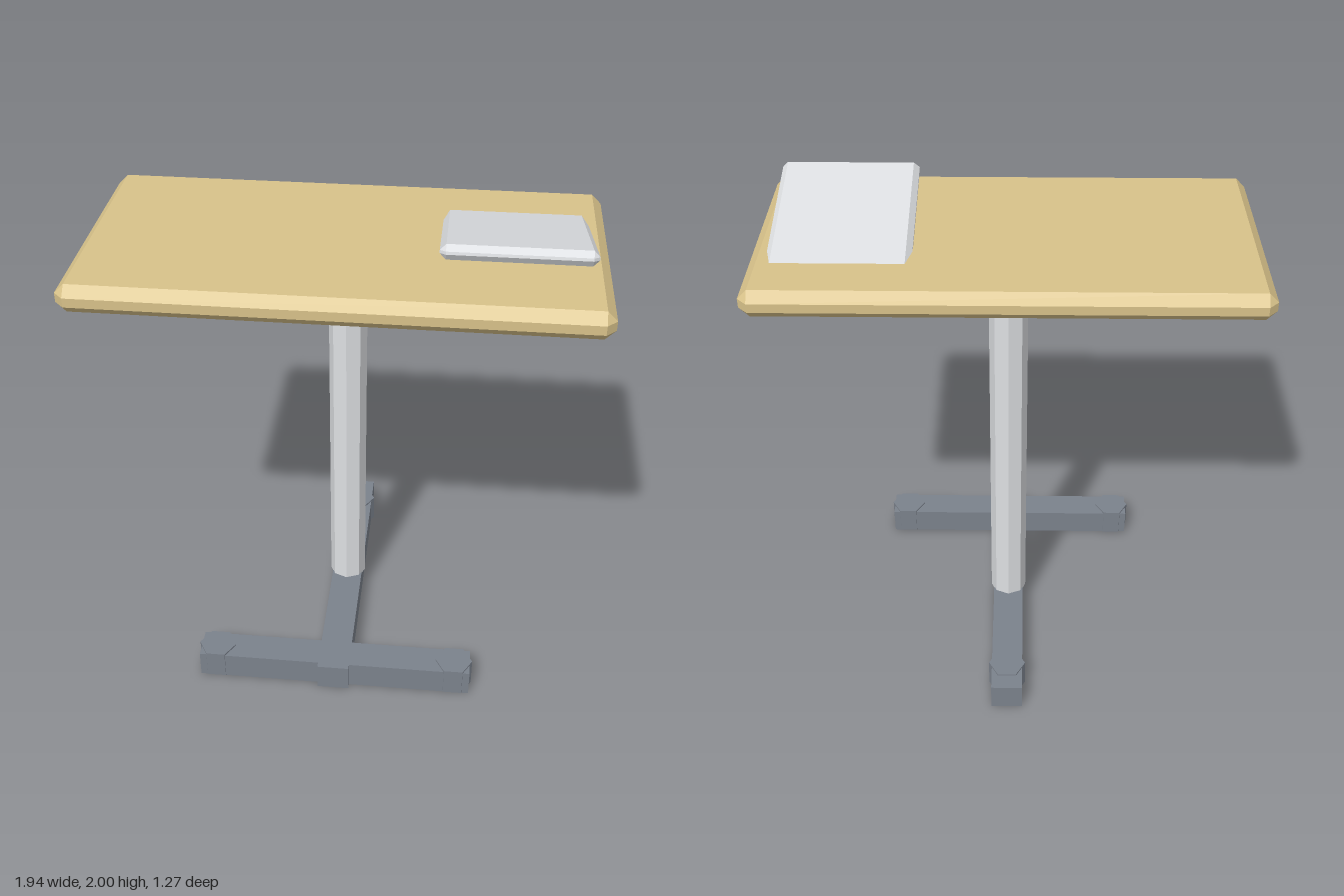
import * as THREE from 'three';
import { ConvexGeometry } from 'three/addons/geometries/ConvexGeometry.js';

const material = (name, color) => {
  const m = new THREE.MeshStandardMaterial({ color });
  m.name = name;
  return m;
};

// Box with every edge chamfered by c
function chamferBox(w, h, d, c) {
  const half = [w / 2, h / 2, d / 2];
  const points = [];
  for (const sx of [-1, 1]) for (const sy of [-1, 1]) for (const sz of [-1, 1])
    for (let full = 0; full < 3; full++) {
      const p = [sx, sy, sz].map((s, i) => s * (half[i] - (i === full ? 0 : c)));
      points.push(new THREE.Vector3(...p));
    }
  return new ConvexGeometry(points);
}

// Upright faceted column standing at height y
function column(radius, height, sides, y) {
  return new THREE.CylinderGeometry(radius, radius, height, sides)
    .toNonIndexed().translate(0, y + height / 2, 0);
}

export function createModel() {
  const group = new THREE.Group();
  group.name = 'overbedTable';
  const wood = material('wood', 0xd8c28a);
  const metal = material('lightMetal', 0xdddfe2);
  const base = material('darkMetal', 0x7b828c);

  const add = (name, geometry, mat, x = 0, y = 0, z = 0) => {
    geometry.computeVertexNormals();
    const mesh = new THREE.Mesh(geometry, mat);
    mesh.name = name;
    mesh.position.set(x, y, z);
    group.add(mesh);
    return mesh;
  };

  // T-shaped base
  add('baseSpine', new THREE.BoxGeometry(0.13, 0.115, 1.27), base, 0, 0.0575, 0);
  add('baseCrossbar', new THREE.BoxGeometry(1.135, 0.115, 0.13), base, 0, 0.0575, 0.547);

  // Hexagonal feet, corners pointing sideways
  for (const [name, x, z] of [['leftFoot', 0.5, 0.547], ['rightFoot', -0.5, 0.547], ['backFoot', 0, -0.5]])
    add(name, column(0.077, 0.122, 6, 0).rotateY(Math.PI / 2), base, x, 0, z);

  // Octagonal post
  add('post', column(0.077, 1.655, 8, 0.105), metal);

  // Table top, set forward of the post
  add('tableTop', chamferBox(1.94, 0.11, 0.99, 0.037), wood, 0, 1.805, 0.135);

  // Tilted reading panel sunk into the table top
  const panel = add('tiltedPanel', chamferBox(0.545, 0.055, 0.68, 0.022), metal, 0.632, 1.896, 0.128);
  panel.rotation.x = -THREE.MathUtils.degToRad(14);

  return group;
}
